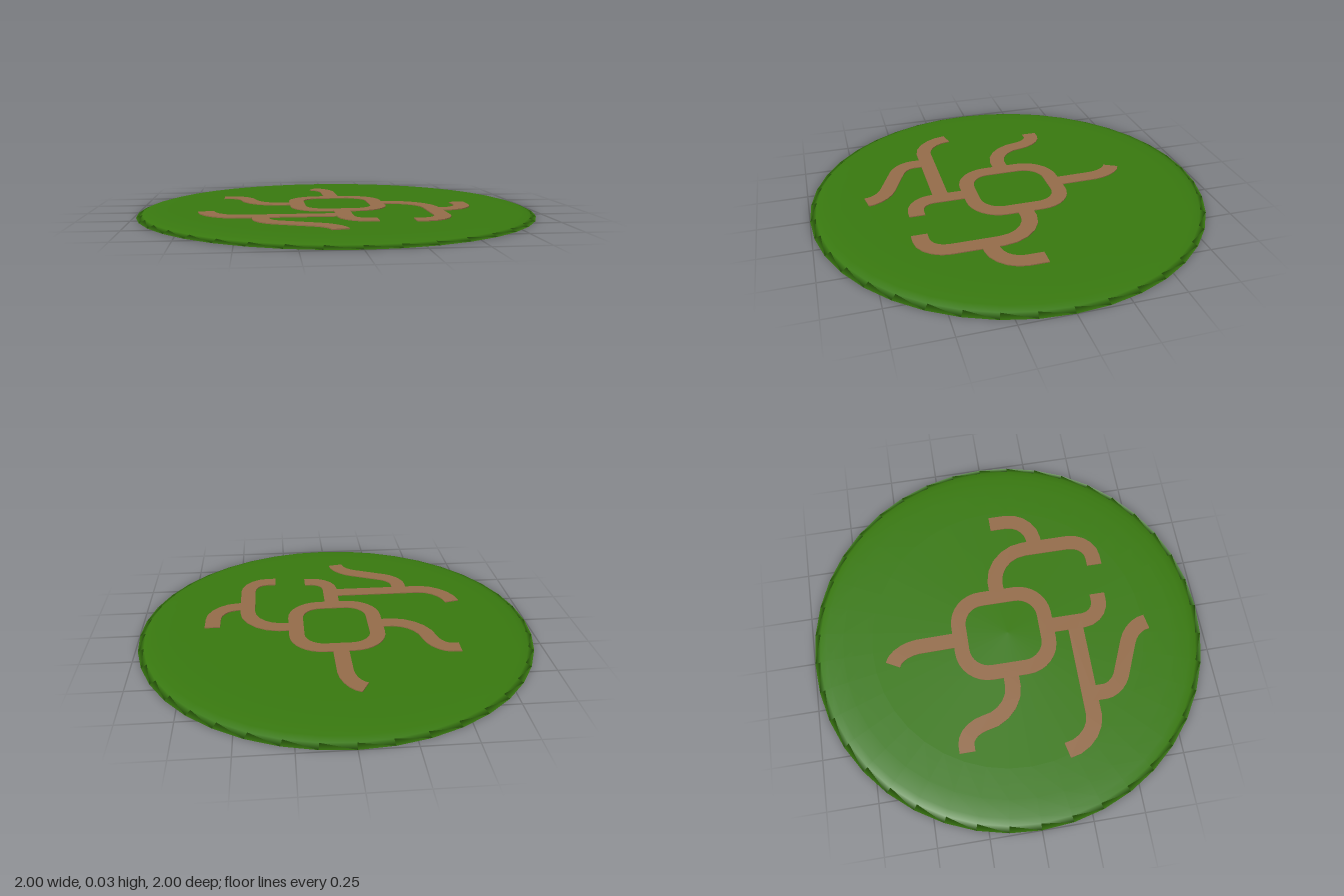
import * as THREE from 'three';

const WIDTH = 0.078;      // path width
const PATH_BASE = 0.02;   // paths sink into the lawn
const PATH_TOP = 0.032;

// Lay a plan shape (x, -z) flat between the base and top heights
function slab(shape) {
  const geo = new THREE.ExtrudeGeometry(shape, {
    depth: PATH_TOP - PATH_BASE, bevelEnabled: false, curveSegments: 4,
  });
  geo.rotateX(-Math.PI / 2);
  geo.translate(0, PATH_BASE, 0);
  return geo;
}

// Centre line from [x, z] line points and [cornerX, cornerZ, x, z] bends
function centreLine([start, ...steps]) {
  const path = new THREE.Path();
  let [px, pz] = start;
  path.moveTo(px, -pz);
  const k = 0.55;
  for (const s of steps) {
    if (s.length === 2) {
      path.lineTo(s[0], -s[1]);
    } else {
      const [cx, cz, x, z] = s;
      path.bezierCurveTo(px + (cx - px) * k, -(pz + (cz - pz) * k),
        x + (cx - x) * k, -(z + (cz - z) * k), x, -z);
    }
    [px, pz] = s.slice(-2);
  }
  return path.getPoints(5);
}

// Widen a centre line into a strip with mitred joints
function strip(steps) {
  const pts = centreLine(steps);
  const left = [], right = [];
  pts.forEach((p, i) => {
    const a = pts[Math.max(i - 1, 0)], b = pts[Math.min(i + 1, pts.length - 1)];
    const d1 = (i > 0 ? p.clone().sub(a) : b.clone().sub(p)).normalize();
    const d2 = (i < pts.length - 1 ? b.clone().sub(p) : d1.clone()).normalize();
    const n1 = new THREE.Vector2(-d1.y, d1.x);
    const n = n1.clone().add(new THREE.Vector2(-d2.y, d2.x)).normalize();
    n.multiplyScalar(WIDTH / 2 / n.dot(n1));
    left.push(p.clone().add(n));
    right.unshift(p.clone().sub(n));
  });
  return slab(new THREE.Shape([...left, ...right]));
}

// Rounded rectangle outline around (cx, cz)
function roundedOutline(target, cx, cz, hw, hd, r) {
  [[1, 1], [-1, 1], [-1, -1], [1, -1]].forEach(([sx, sy], i) => {
    target.absarc(cx + sx * (hw - r), -cz + sy * (hd - r), r,
      i * Math.PI / 2, (i + 1) * Math.PI / 2, false);
  });
  target.closePath();
  return target;
}

export function createModel() {
  const group = new THREE.Group();
  const grass = new THREE.MeshStandardMaterial({ color: 0x38780f });
  grass.name = 'grass green';
  const earth = new THREE.MeshStandardMaterial({ color: 0x936b49 });
  earth.name = 'earth brown';

  const add = (name, geo, mat) => {
    const mesh = new THREE.Mesh(geo, mat);
    mesh.name = name;
    group.add(mesh);
  };

  // Shallow round lawn with a soft rim
  const profile = [[0, 0], [0.94, 0], [1, 0], [0.97, 0.013], [0.935, 0.022],
    [0.85, 0.025], [0.7, 0.027], [0, 0.028]];
  add('lawn', new THREE.LatheGeometry(
    profile.map(([x, y]) => new THREE.Vector2(x, y)), 40), grass);

  // Central ring path
  const ring = roundedOutline(new THREE.Shape(), 0.003, -0.023, 0.242, 0.262, 0.17);
  ring.holes.push(roundedOutline(new THREE.Path(), 0.003, -0.023, 0.165, 0.187, 0.1));
  add('ringPath', slab(ring), earth);

  // Winding arms and their branches
  const arms = {
    backPath: [[0, -0.25], [-0.003, -0.47], [-0.01, -0.585, -0.08, -0.605]],
    leftPath: [[-0.2, -0.022], [-0.29, -0.022], [-0.44, -0.03, -0.452, -0.19],
      [-0.47, -0.295, -0.545, -0.295], [-0.583, -0.295]],
    frontPath: [[0.002, 0.2], [0.002, 0.4], [0.005, 0.497, 0.1, 0.497], [0.138, 0.497]],
    frontLeftPath: [[0, 0.35], [-0.5, 0.35], [-0.64, 0.34, -0.652, 0.188]],
    frontLeftBranch: [[-0.39, 0.36], [-0.39, 0.43], [-0.39, 0.495, -0.32, 0.527],
      [-0.15, 0.6], [-0.06, 0.635, -0.058, 0.718]],
    rightPath: [[0.22, -0.022], [0.29, -0.022], [0.455, -0.01, 0.457, 0.16],
      [0.457, 0.4], [0.457, 0.518, 0.35, 0.518], [0.305, 0.518]],
    rightBranch: [[0.46, 0.222], [0.51, 0.222], [0.634, 0.215, 0.634, 0.09], [0.634, 0.003]],
  };
  for (const [name, steps] of Object.entries(arms)) add(name, strip(steps), earth);

  return group;
}
